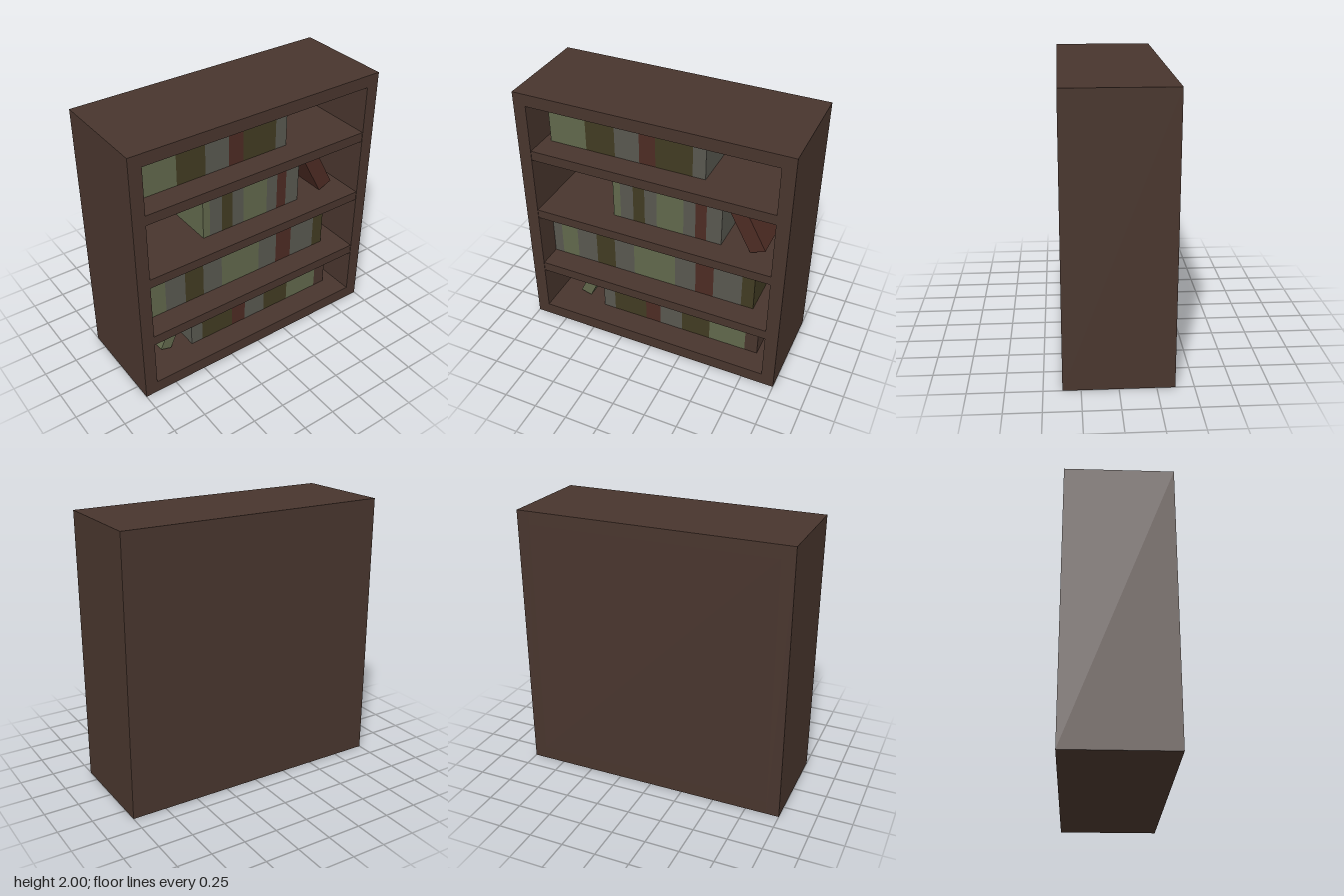
import * as THREE from 'three';

const mat = (name, color) => {
  const m = new THREE.MeshStandardMaterial({ color });
  m.name = name;
  return m;
};

export function createModel() {
  const wood = mat('dark wood', 0x48352d);
  const books = {
    g: mat('sage cover', 0x60674b),
    o: mat('olive cover', 0x413b22),
    s: mat('grey cover', 0x58574f),
    r: mat('red cover', 0x4c2b23),
    w: wood,
  };
  const model = new THREE.Group();
  model.name = 'bookcase';

  // Box given by its limits on each axis
  const box = (parent, name, material, x0, x1, y0, y1, z0, z1) => {
    const mesh = new THREE.Mesh(new THREE.BoxGeometry(x1 - x0, y1 - y0, z1 - z0), material);
    mesh.position.set((x0 + x1) / 2, (y0 + y1) / 2, (z0 + z1) / 2);
    mesh.name = name;
    parent.add(mesh);
  };

  // Straight prism from a front outline, running from z0 to z1
  const prism = (parent, name, material, outline, z0, z1) => {
    const shape = new THREE.Shape(outline.map(([x, y]) => new THREE.Vector2(x, y)));
    const geometry = new THREE.ExtrudeGeometry(shape, { depth: z1 - z0, bevelEnabled: false });
    geometry.translate(0, 0, z0);
    const mesh = new THREE.Mesh(geometry, material);
    mesh.name = name;
    parent.add(mesh);
  };

  // Cabinet: sides, top, base and thin back
  const D = 0.373, X = 0.905, Y0 = 0.095, Y1 = 1.908, back = -0.355;
  box(model, 'rightSide', wood, -1, -X, 0, 2, -D, D);
  box(model, 'leftSide', wood, X, 1, 0, 2, -D, D);
  box(model, 'topBoard', wood, -X, X, Y1, 2, -D, D);
  box(model, 'baseBoard', wood, -X, X, 0, Y0, -D, D);
  box(model, 'backPanel', wood, -X, X, Y0, Y1, -D, back);

  // Shelves
  const shelves = [[0.455, 0.53], [0.967, 1.037], [1.475, 1.55]];
  shelves.forEach(([y0, y1], i) =>
    box(model, `shelf${i + 1}`, wood, -X, X, y0, y1, back, D - 0.004));

  // Rows of upright books: cover codes and the edges between them
  const rows = [
    { y: [Y0, 0.455], covers: 'sorsogw',
      edges: [-0.49, -0.393, -0.12, 0.003, 0.187, 0.414, 0.703, 0.803] },
    { y: [0.53, 0.967], covers: 'sgsosgsrso',
      edges: [-0.905, -0.83, -0.692, -0.527, -0.372, -0.211, 0.126, 0.289, 0.43, 0.65, 0.745] },
    { y: [1.037, 1.475], covers: 'gsosgsrs',
      edges: [-0.364, -0.307, -0.205, -0.115, -0.02, 0.187, 0.278, 0.361, 0.476] },
    { y: [1.55, Y1], covers: 'gosros',
      edges: [-0.847, -0.56, -0.335, -0.147, -0.025, 0.25, 0.345] },
  ];
  rows.forEach(({ y, covers, edges }, r) => {
    const row = new THREE.Group();
    row.name = `bookRow${r + 1}`;
    [...covers].forEach((c, i) =>
      box(row, `book${i + 1}`, books[c], edges[i], edges[i + 1], y[0], y[1], back, 0.19));
    model.add(row);
  });

  // Leaning books
  prism(model, 'leaningSageBook', books.g,
    [[-0.73, 0.128], [-0.644, 0.102], [-0.495, 0.422], [-0.575, 0.449]], back, 0.14);
  prism(model, 'leaningRedBook', books.r,
    [[0.69, 1.04], [0.8, 1.085], [0.596, 1.472], [0.484, 1.428]], back, 0.19);

  return model;
}
